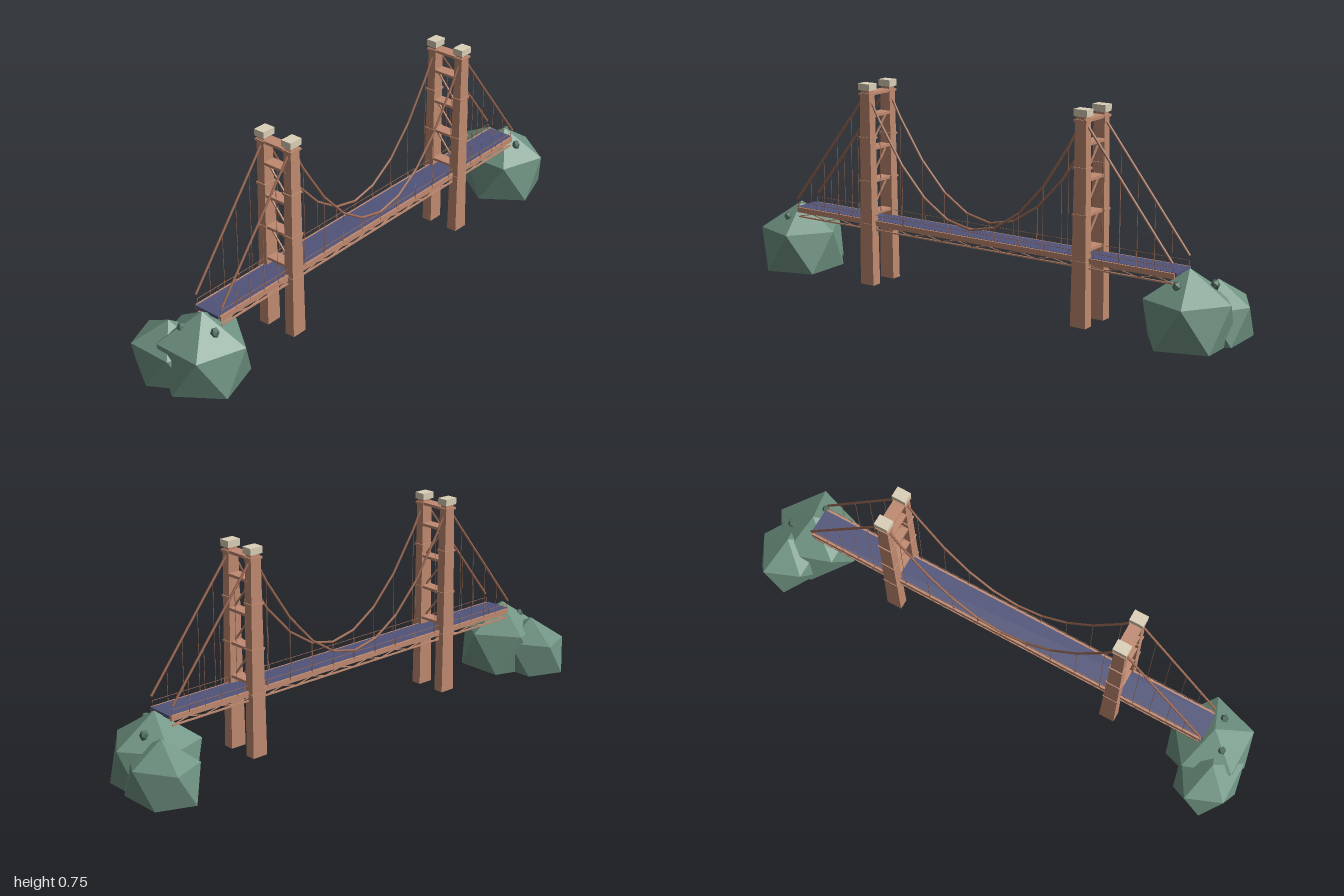
import * as THREE from 'three';

const paint = (name, color) => {
  const m = new THREE.MeshStandardMaterial({ color });
  m.name = name;
  return m;
};

export function createModel() {
  const terracotta = paint('terracotta steel', 0xc08a70);
  const cableBrown = paint('cable brown', 0xa06c56);
  const slate = paint('slate road', 0x51547a);
  const stone = paint('pale stone', 0xdbd0b8);
  const green = paint('mossy rock', 0x6f9382);
  const darkGreen = paint('dark shrub', 0x527062);
  green.flatShading = darkGreen.flatShading = true;

  const model = new THREE.Group();
  model.name = 'suspensionBridge';
  const bridge = new THREE.Group();
  bridge.name = 'bridge';
  bridge.position.z = 0.048;
  model.add(bridge);

  const add = (parent, name, geo, mat, x = 0, y = 0, z = 0) => {
    const mesh = new THREE.Mesh(geo, mat);
    mesh.name = name;
    mesh.position.set(x, y, z);
    parent.add(mesh);
    return mesh;
  };
  const box = (parent, name, mat, w, h, d, x, y, z) =>
    add(parent, name, new THREE.BoxGeometry(w, h, d), mat, x, y, z);
  // Straight member joining two points
  const span = (parent, name, mat, a, b, makeGeometry) => {
    const p = new THREE.Vector3(...a), q = new THREE.Vector3(...b);
    const mesh = add(parent, name, makeGeometry(p.distanceTo(q)), mat);
    mesh.position.copy(p).add(q).multiplyScalar(0.5);
    mesh.quaternion.setFromUnitVectors(new THREE.Vector3(0, 1, 0), q.sub(p).normalize());
  };
  const bar = (parent, name, mat, a, b, t) =>
    span(parent, name, mat, a, b, (len) => new THREE.BoxGeometry(t, len, t));
  const rope = (parent, name, mat, a, b, r) =>
    span(parent, name, mat, a, b, (len) => new THREE.CylinderGeometry(r, r, len, 6));

  const towerX = 0.455, sideZ = 0.059, legTop = 0.714;
  const endX = 0.8, cableTop = 0.715, deckTop = 0.242;

  // Towers: tapered legs, collars, stone caps, cross beams and braces
  for (const sx of [-1, 1]) {
    const tower = new THREE.Group();
    tower.name = sx < 0 ? 'rightTower' : 'leftTower';
    tower.position.x = sx * towerX;
    bridge.add(tower);
    for (const sz of [-1, 1]) {
      const z = sz * sideZ;
      const leg = new THREE.BoxGeometry(0.06, legTop, 0.039);
      const p = leg.attributes.position;
      for (let i = 0; i < p.count; i++) {
        if (p.getY(i) > 0) p.setXYZ(i, p.getX(i) * 0.7, p.getY(i), p.getZ(i) * 0.8);
      }
      leg.computeVertexNormals();
      add(tower, 'towerLeg', leg, terracotta, 0, legTop / 2, z);
      for (const y of [0.228, 0.388, 0.548, 0.708]) {
        box(tower, 'legCollar', terracotta, 0.063 - 0.018 * y, 0.008, 0.041, 0, y, z);
      }
      box(tower, 'capNeck', terracotta, 0.036, 0.012, 0.028, 0, 0.718, z);
      box(tower, 'towerCap', stone, 0.052, 0.024, 0.041, 0, 0.735, z);
    }
    const beams = [0.267, 0.388, 0.508, 0.629, 0.709];
    beams.forEach((y, i) => {
      box(tower, 'crossBeam', terracotta, 0.045, 0.01, 0.1, 0, y, 0);
      if (i < 3) {
        bar(tower, 'diagonalBrace', terracotta, [0, y + 0.004, 0.046], [0, beams[i + 1] - 0.008, -0.046], 0.005);
      }
    });
  }

  // Roadway
  box(bridge, 'roadDeck', slate, 1.62, 0.012, 0.1, 0, 0.236, 0);

  // Cable height along the bridge
  const cableY = (x) => {
    const a = Math.abs(x);
    return a <= towerX
      ? 0.27 + (cableTop - 0.27) * (a / towerX) ** 2
      : cableTop + (0.275 - cableTop) * (a - towerX) / (endX - towerX);
  };

  for (const sz of [-1, 1]) {
    const side = new THREE.Group();
    side.name = sz < 0 ? 'backSide' : 'frontSide';
    side.position.z = sz * sideZ;
    bridge.add(side);
    const inZ = -sz * 0.005;

    // Stiffening girder with lacing and lower chord
    box(side, 'girder', terracotta, 1.61, 0.019, 0.008, 0, 0.2315, inZ);
    box(side, 'lowerChord', terracotta, 1.6, 0.005, 0.006, 0, 0.206, inZ);
    const panels = 24, step = 1.6 / panels;
    for (let i = 0; i < panels; i++) {
      const x = -endX + i * step, up = i % 2;
      bar(side, 'girderLacing', terracotta, [x, up ? 0.222 : 0.207, inZ],
        [x + step, up ? 0.207 : 0.222, inZ], 0.003);
    }

    // Railing
    box(side, 'handrail', cableBrown, 1.6, 0.0015, 0.0015, 0, 0.261, inZ);
    for (let i = 0; i <= 16; i++) {
      box(side, 'railPost', cableBrown, 0.0015, 0.022, 0.0015, -endX + i * 0.1, 0.251, inZ);
    }

    // Main cable in straight runs between hanger points, and side cables
    const nodes = [-towerX, -0.4, -0.3, -0.2, -0.1, 0, 0.1, 0.2, 0.3, 0.4, towerX];
    for (let i = 1; i < nodes.length; i++) {
      const [a, b] = [nodes[i - 1], nodes[i]];
      rope(side, 'mainCable', cableBrown, [a, cableY(a), 0], [b, cableY(b), 0], 0.0045);
    }
    for (const sx of [-1, 1]) {
      rope(side, 'sideCable', cableBrown, [sx * towerX, cableTop, 0], [sx * endX, 0.275, 0], 0.0045);
    }

    // Hangers
    const hanger = (x) => rope(side, 'hanger', cableBrown, [x, deckTop - 0.005, 0], [x, cableY(x), 0], 0.001);
    nodes.slice(1, -1).forEach(hanger);
    for (const x of [0.533, 0.6, 0.667, 0.733]) {
      hanger(x);
      hanger(-x);
    }
  }

  // Flat-bottomed boulder: apex, two staggered rings of five, base
  const boulder = (rx, rz, ringY, topY) => {
    const v = [0, topY, 0];
    for (const [y, turn] of [[ringY, 0], [0, Math.PI / 5]]) {
      for (let i = 0; i < 5; i++) {
        const a = turn + i * Math.PI * 2 / 5;
        v.push(rx * Math.cos(a), y, rz * Math.sin(a));
      }
    }
    v.push(0, 0, 0);
    const f = [];
    for (let i = 0; i < 5; i++) {
      const u = 1 + i, un = 1 + (i + 1) % 5, l = 6 + i, ln = 6 + (i + 1) % 5;
      f.push(0, un, u, u, un, l, un, ln, l, 11, l, ln);
    }
    const g = new THREE.BufferGeometry();
    g.setAttribute('position', new THREE.Float32BufferAttribute(v, 3));
    g.setIndex(f);
    const flat = g.toNonIndexed();
    flat.computeVertexNormals();
    return flat;
  };

  // Rocky banks with little shrubs
  for (const sx of [-1, 1]) {
    const bank = new THREE.Group();
    bank.name = sx < 0 ? 'rightBank' : 'leftBank';
    model.add(bank);
    add(bank, 'largeRock', boulder(0.153, 0.155, 0.15, 0.252), green, sx * 0.833, 0, 0.048);
    add(bank, 'smallRock', boulder(0.116, 0.142, 0.12, 0.2), green, sx * 0.884, 0, -0.058);
    const shrubs = [[sx < 0 ? -0.887 : 0.905, 0.198, 0.006], [sx < 0 ? -0.843 : 0.822, 0.203, 0.114]];
    for (const [x, y, z] of shrubs) {
      add(bank, 'shrub', new THREE.IcosahedronGeometry(0.016, 0), darkGreen, x, y, z).scale.y = 1.25;
    }
  }
  return model;
}
